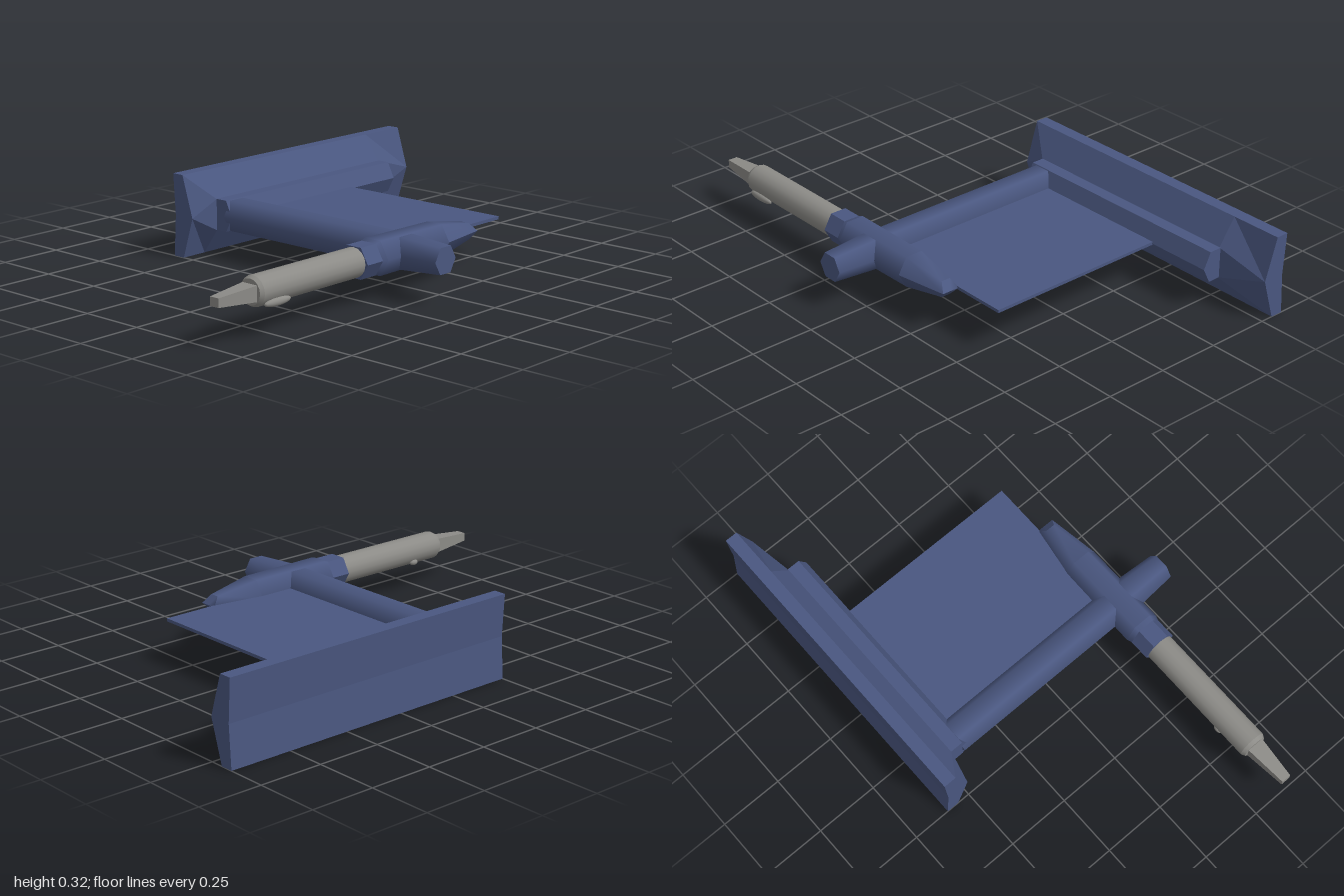
import * as THREE from 'three';

const CY = 0.16;   // height of the common centre line
const BX = 0.375;  // x of the hub and barrel axis
const BZ = 0.085;  // z of the cross arm axis

export function createModel() {
  const group = new THREE.Group();
  const blue = new THREE.MeshStandardMaterial({ color: 0x4a5780 });
  const blueFlat = new THREE.MeshStandardMaterial({ color: 0x4a5780, flatShading: true });
  const metal = new THREE.MeshStandardMaterial({ color: 0x8c8b87 });
  const metalFlat = new THREE.MeshStandardMaterial({ color: 0x8c8b87, flatShading: true });

  const add = (name, geometry, material, x = 0, y = 0, z = 0) => {
    const mesh = new THREE.Mesh(geometry, material);
    mesh.name = name;
    mesh.position.set(x, y, z);
    group.add(mesh);
    return mesh;
  };

  // Tapered rods between two stations; six-sided ones have corners level with the axis
  const rodX = (name, x0, x1, r0, r1, mat) => {
    const g = new THREE.CylinderGeometry(r1, r0, x1 - x0, 6).rotateZ(-Math.PI / 2);
    return add(name, g, mat, (x0 + x1) / 2, CY, BZ);
  };
  const rodZ = (name, z0, z1, r0, r1, mat, sides = 6) => {
    const g = new THREE.CylinderGeometry(r1, r0, z1 - z0, sides).rotateY(Math.PI / 2).rotateX(Math.PI / 2);
    return add(name, g, mat, BX, CY, (z0 + z1) / 2);
  };

  // Bevelled end plate
  add('endPlate', plateGeometry(), blueFlat);

  // Half-hexagonal rail on the plate
  const rail = new THREE.Shape([
    [-0.49, 0.101], [-0.43, 0.101], [-0.4, CY], [-0.43, 0.222], [-0.49, 0.222],
  ].map(([x, y]) => new THREE.Vector2(x, y)));
  add('rail', new THREE.ExtrudeGeometry(rail, { depth: 0.94, bevelEnabled: false }), blueFlat, 0, 0, -0.8);

  // Cross arm and its tapered end
  rodX('crossArm', -0.43, 0.42, 0.068, 0.068, blue);
  rodX('crossArmEnd', 0.42, 0.595, 0.068, 0.056, blue);

  // Thin panel between rail and hub
  add('panel', new THREE.BoxGeometry(0.765, 0.012, 0.62), blueFlat, -0.0375, CY, -0.23);

  // Hub, front collar and chisel-shaped tail
  rodZ('hub', -0.12, 0.22, 0.07, 0.073, blue);
  rodZ('hubShoulder', 0.22, 0.24, 0.073, 0.066, blue);
  rodZ('collar', 0.24, 0.32, 0.066, 0.066, blueFlat);
  const tail = rodZ('tail', -0.325, -0.12, 0.037, 0.07, blue);
  const p = tail.geometry.attributes.position;
  for (let i = 0; i < p.count; i++) {
    if (p.getZ(i) < 0 && Math.abs(p.getY(i)) > 0.01) p.setZ(i, p.getZ(i) + 0.03);
  }
  tail.geometry.computeVertexNormals();

  // Barrel with a chamfered nose
  rodZ('barrel', 0.31, 0.82, 0.055, 0.055, metal, 16);
  rodZ('barrelNose', 0.82, 0.835, 0.055, 0.047, metal, 16);

  // Four-sided tapered tip
  const tip = new THREE.CylinderGeometry(0.027, 0.048, 0.17, 4, 1, false, Math.PI / 4);
  tip.rotateX(Math.PI / 2).scale(1, 0.85, 1);
  add('tip', tip, metalFlat, BX, CY, 0.915);

  // Small lugs low on the barrel
  const lug = new THREE.SphereGeometry(1, 12, 8);
  add('lug', lug, metal, 0.42, 0.119, 0.75).scale.set(0.013, 0.015, 0.065);
  add('lug', lug, metal, 0.333, 0.122, 0.69).scale.set(0.012, 0.012, 0.02);

  return group;
}

// Plate lofted along z: full ridge in the middle, a single ridge line at both ends
function plateGeometry() {
  const section = (z, ridge, half) => [
    [-0.6, 0.322], [-0.55, 0.322], [ridge, CY + half], [ridge, CY],
    [ridge, CY - half], [-0.55, 0], [-0.6, 0], [-0.59, CY],
  ].map(([x, y]) => [x, y, z]);
  const rings = [section(0.25, -0.5, 0), section(0.14, -0.48, 0.061),
    section(-0.795, -0.48, 0.061), section(-1, -0.5, 0)];
  const n = rings[0].length;
  const out = [];
  const tri = (a, b, c) => out.push(...a, ...b, ...c);
  for (let s = 0; s < rings.length - 1; s++) {
    for (let i = 0; i < n; i++) {
      const j = (i + 1) % n;
      const [r, q] = [rings[s], rings[s + 1]];
      tri(r[i], r[j], q[j]);
      tri(r[i], q[j], q[i]);
    }
  }
  // End caps fan out from the inner back point
  const [front, back] = [rings[0], rings[rings.length - 1]];
  for (let i = 0; i < n - 2; i++) {
    tri(front[n - 1], front[i + 1], front[i]);
    tri(back[n - 1], back[i], back[i + 1]);
  }
  const g = new THREE.BufferGeometry();
  g.setAttribute('position', new THREE.Float32BufferAttribute(out, 3));
  g.computeVertexNormals();
  return g;
}
